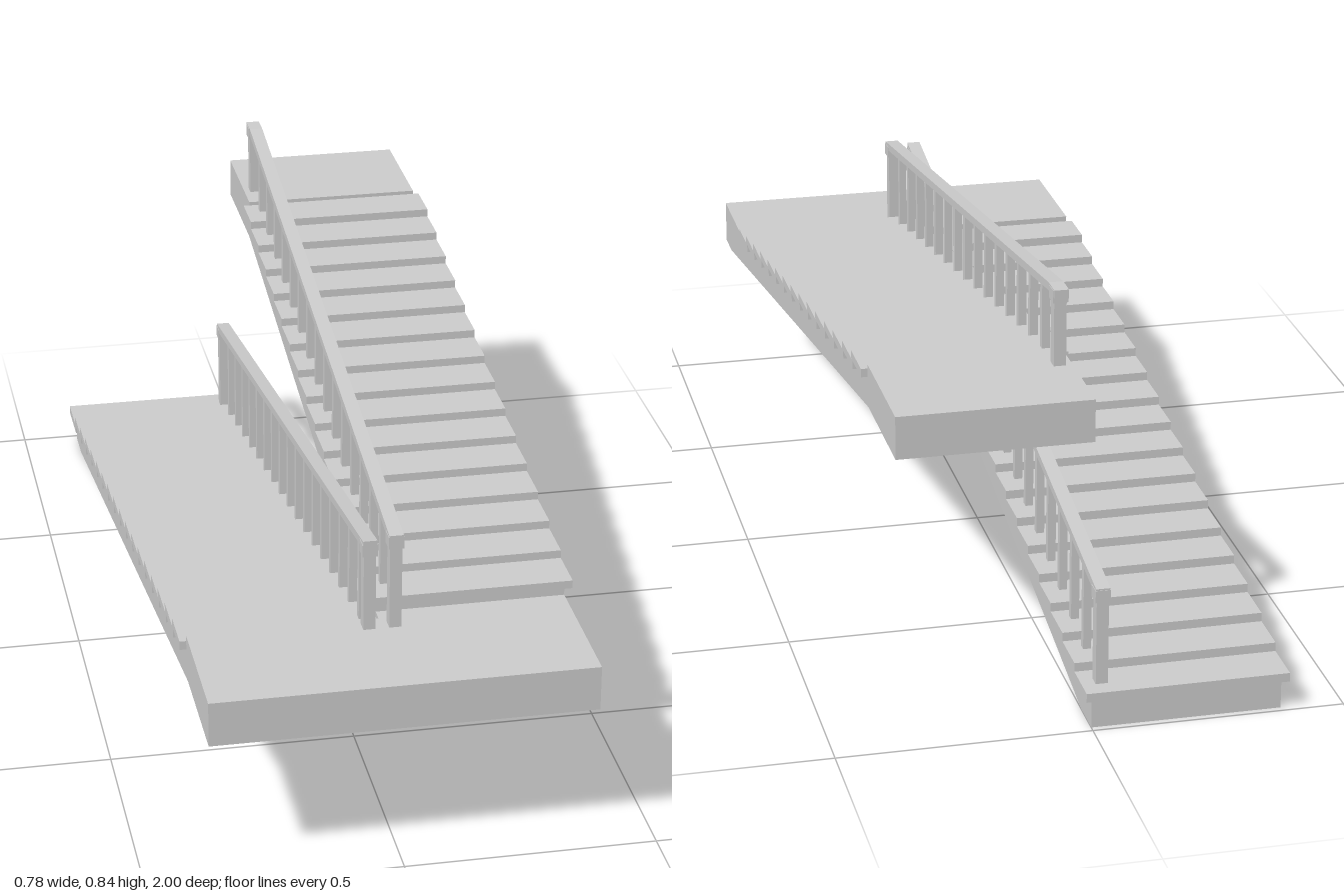
import * as THREE from 'three';

const material = new THREE.MeshStandardMaterial({ color: 0xcccccc, flatShading: true });

function add(parent, name, geometry, x = 0, y = 0, z = 0) {
  const mesh = new THREE.Mesh(geometry, material);
  mesh.name = name;
  mesh.position.set(x, y, z);
  parent.add(mesh);
  return mesh;
}

// Extrude a side profile of [z, y] points across x0..x1
function addProfile(parent, name, points, x0, x1) {
  const shape = new THREE.Shape(points.map(([z, y]) => new THREE.Vector2(z, y)));
  const geometry = new THREE.ExtrudeGeometry(shape, { depth: x1 - x0, bevelEnabled: false });
  geometry.rotateY(-Math.PI / 2);
  return add(parent, name, geometry, x1);
}

// Box given by its limits
function addBox(parent, name, x0, x1, y0, y1, z0, z1) {
  const geometry = new THREE.BoxGeometry(x1 - x0, y1 - y0, Math.abs(z1 - z0));
  return add(parent, name, geometry, (x0 + x1) / 2, (y0 + y1) / 2, (z0 + z1) / 2);
}

// One flight: sawtooth body, treads and a railing; dir is the climbing direction in z
function makeFlight(f) {
  const flight = new THREE.Group();
  flight.name = f.name;
  const { dir, run, rise, count } = f;
  const nose = (i) => f.startZ + dir * run * i;
  const treadTop = (i) => f.firstTop + rise * i;

  // Solid body with stepped top and sloping underside
  const profile = [...f.before];
  for (let i = 0; i < count; i++) {
    const bottom = treadTop(i) - rise;
    profile.push([nose(i) + dir * 0.013, bottom]);
    profile.push([i < count - 1 ? nose(i + 1) + dir * 0.013 : nose(count), bottom]);
  }
  profile.push(...f.after);
  addProfile(flight, 'flightBody', profile, f.x0, f.x1);

  // Treads overhang both sides and the riser below
  for (let i = 0; i < count; i++) {
    const end = nose(i + 1) + (i < count - 1 ? dir * 0.013 : 0);
    addBox(flight, 'tread', f.x0 - 0.013, f.x1 + 0.013, treadTop(i) - rise, treadTop(i), nose(i), end);
  }

  // Handrail with a short level end at the outer newel
  const railing = new THREE.Group();
  railing.name = 'railing';
  flight.add(railing);
  const [[za, ya], [zb, yb]] = f.rail;
  const railTop = (z) => ya + (yb - ya) * (z - za) / (zb - za);
  const t = 0.016;
  const level = f.levelEnd;
  const top = [[za, ya], [zb, yb]];
  if (level) top.push([level, yb]);
  const under = top.map(([z, y]) => [z, y - t]).reverse();
  addProfile(railing, 'handrail', [...top, ...under], f.railX - 0.014, f.railX + 0.014);

  // Newel posts with a slightly wider head
  for (const [z, base] of f.newels) {
    const head = railTop(z) - 0.006;
    addBox(railing, 'newelPost', f.railX - 0.012, f.railX + 0.012, base, head, z - 0.013, z + 0.013);
    addBox(railing, 'newelHead', f.railX - 0.015, f.railX + 0.015, head - 0.025, head, z - 0.016, z + 0.016);
  }

  // One baluster per tread
  for (let i = f.firstBaluster; i < count; i++) {
    const z = nose(i + 0.65);
    addBox(railing, 'baluster', f.railX - 0.008, f.railX + 0.008, treadTop(i), railTop(z) - 0.008, z - 0.008, z + 0.008);
  }
  return flight;
}

export function createModel() {
  const model = new THREE.Group();
  model.name = 'staircase';

  // Lower flight with its half of the middle landing
  model.add(makeFlight({
    name: 'lowerFlight', dir: 1, startZ: -1, run: 0.0964, rise: 0.0182, count: 18, firstTop: 0.079,
    x0: -0.377, x1: 0,
    before: [[-0.987, 0]],
    after: [[0.735, 0.4], [1, 0.4], [1, 0.308], [0.75, 0.308], [-0.91, 0]],
    rail: [[-0.965, 0.28], [0.778, 0.593]],
    railX: -0.026, newels: [[-0.95, 0.079], [0.762, 0.4]], firstBaluster: 1,
  }));

  // Upper flight with the other half of the landing and the top landing
  model.add(makeFlight({
    name: 'upperFlight', dir: -1, startZ: 0.72, run: 0.0967, rise: 0.0168, count: 15, firstTop: 0.437,
    x0: 0, x1: 0.377,
    before: [[0.93, 0.308], [1, 0.308], [1, 0.4], [0.707, 0.4]],
    after: [[-0.73, 0.68], [-0.99, 0.68], [-0.99, 0.595], [-0.735, 0.595]],
    rail: [[0.778, 0.6], [-0.78, 0.836]], levelEnd: -0.825,
    railX: 0.025, newels: [[0.762, 0.4], [-0.803, 0.68]], firstBaluster: 0,
  }));

  return model;
}
